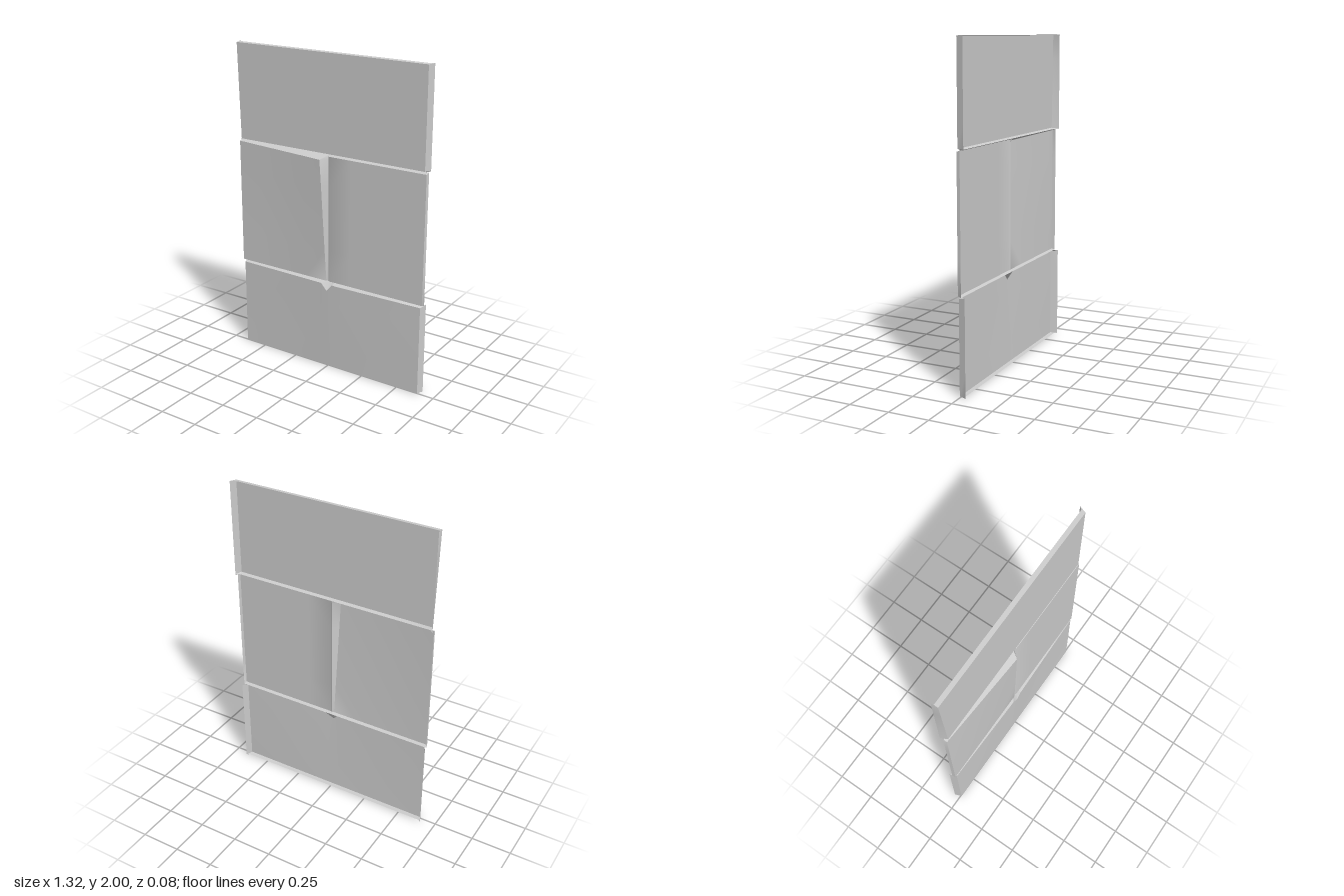
import * as THREE from 'three';
import { toCreasedNormals } from 'three/addons/utils/BufferGeometryUtils.js';

const material = new THREE.MeshStandardMaterial({ color: 0xcccccc, side: THREE.DoubleSide });
const lerp = THREE.MathUtils.lerp;

// A thin sheet: a face surface with a border folded back on each side.
// inset.* give the fold width along a side, rim.* the depth of its outer edge.
function panel(name, [x0, x1], [y0, y1], face, inset, rim, middle = []) {
  const w = x1 - x0;
  const inner = [0, 0.25, 0.5, 0.75, 1].map((t) => x0 + w * t).concat(middle).sort((a, b) => a - b);
  const cols = [x0, ...inner, x1];
  const rows = [y0, ...[0, 0.25, 0.5, 0.75, 1].map((t) => lerp(y0, y1, t)), y1];
  const pos = [], idx = [], n = cols.length, m = rows.length;
  for (let j = 0; j < m; j++) {
    for (let i = 0; i < n; i++) {
      let x = cols[i], y = rows[j], z = Infinity;
      if (i === 0) z = Math.min(z, rim.left);
      if (i === n - 1) z = Math.min(z, rim.right);
      if (j === 0) z = Math.min(z, rim.bottom);
      if (j === m - 1) z = Math.min(z, rim.top);
      const u = x, v = y;
      if (i > 0 && i < n - 1) x = THREE.MathUtils.clamp(x, x0 + inset.left(v), x1 - inset.right(v));
      if (j > 0 && j < m - 1) y = THREE.MathUtils.clamp(y, y0 + inset.bottom(u), y1 - inset.top(u));
      pos.push(x, y, z === Infinity ? face(x, y) : z);
    }
  }
  for (let j = 0; j < m - 1; j++) {
    for (let i = 0; i < n - 1; i++) {
      const a = j * n + i, b = a + 1, c = a + n, d = c + 1;
      idx.push(a, b, d, a, d, c);
    }
  }
  const geometry = new THREE.BufferGeometry();
  geometry.setAttribute('position', new THREE.Float32BufferAttribute(pos, 3));
  geometry.setIndex(idx);
  const mesh = new THREE.Mesh(toCreasedNormals(geometry, 0.6), material);
  mesh.name = name;
  return mesh;
}

export function createModel() {
  const group = new THREE.Group();
  group.name = 'panelledSheet';
  const W = 0.66, SEAM = -0.015, FLANGE = -0.038;
  const fold = (d) => () => d;

  // Upper panel, with its side flanges; the fold at -x tightens towards the top
  group.add(panel('upperPanel', [-W, W], [1.393, 2], () => 0.006,
    { left: (y) => lerp(0.018, 0.002, (y - 1.393) / 0.607), right: fold(0.015), bottom: fold(0.007), top: fold(0.003) },
    { left: FLANGE, right: FLANGE, bottom: SEAM, top: -0.02 }, [0]));

  // Middle panel at -x, lifted at its upper inner corner
  const lift = (x, y) => 0.006 + 0.036 * ((x + W) / 0.625) * ((y - 0.58) / 0.79);
  group.add(panel('liftedMiddlePanel', [-W, 0], [0.58, 1.393], lift,
    { left: fold(0.004), right: (y) => lerp(0.01, 0.035, (y - 0.58) / 0.81),
      bottom: fold(0.006), top: (x) => lerp(0.01, 0.025, (x + W) / W) },
    { left: SEAM, right: 0, bottom: SEAM, top: SEAM }));

  // Middle panel at +x, nearly flat
  group.add(panel('flatMiddlePanel', [0, W], [0.58, 1.393], () => 0.006,
    { left: fold(0.012), right: fold(0.004), bottom: fold(0.006), top: fold(0.008) },
    { left: 0, right: SEAM, bottom: SEAM, top: SEAM }));

  // Lower panel, bulging at the top centre where a small notch is cut into its fold
  const bulge = (x, y) => 0.006 + 0.016 * (1 - Math.abs(x) / W) * (y / 0.57);
  group.add(panel('lowerPanel', [-W, W], [0, 0.58], bulge,
    { left: fold(0.016), right: fold(0.015), bottom: fold(0.003),
      top: (x) => 0.01 + 0.045 * Math.max(0, 1 - Math.abs(x) / 0.04) },
    { left: FLANGE, right: FLANGE, bottom: -0.02, top: SEAM }, [-0.04, 0.04]));

  return group;
}
